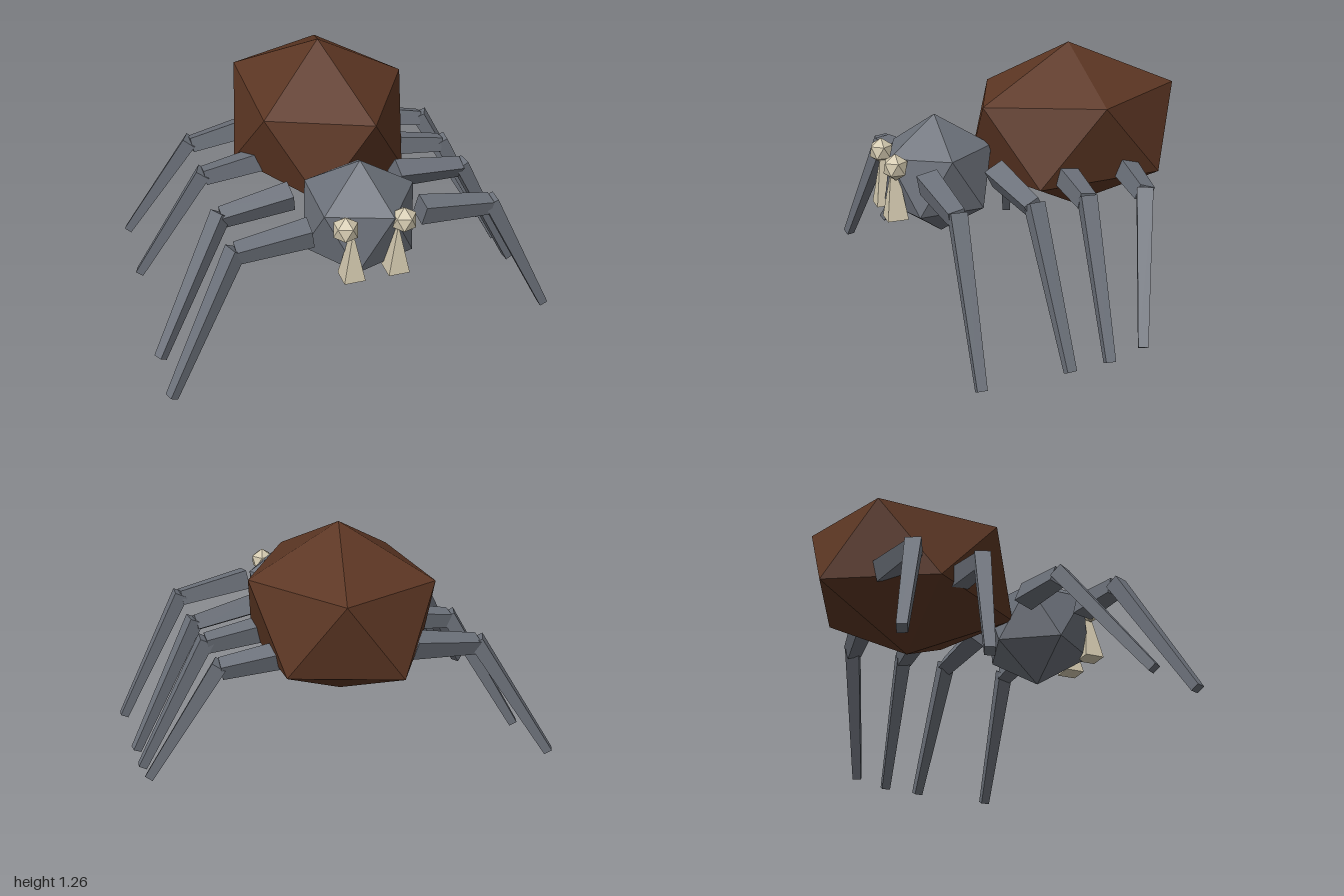
import * as THREE from 'three';

const flat = (name, color) => {
  const m = new THREE.MeshStandardMaterial({ color, flatShading: true });
  m.name = name;
  return m;
};

// Unit icosahedron standing on a point: two poles and two staggered rings of five
function icoBall() {
  const ring = (y, shift) => Array.from({ length: 5 }, (_, k) => {
    const a = (k + shift) * Math.PI * 0.4;
    return [0.8944 * Math.cos(a), y, 0.8944 * Math.sin(a)];
  });
  const top = [0, 1, 0], bottom = [0, -1, 0];
  const upper = ring(0.4472, 0), lower = ring(-0.4472, 0.5);
  const pos = [];
  for (let k = 0; k < 5; k++) {
    const n = (k + 1) % 5;
    pos.push(...top, ...upper[n], ...upper[k]);
    pos.push(...upper[k], ...upper[n], ...lower[k]);
    pos.push(...lower[k], ...upper[n], ...lower[n]);
    pos.push(...lower[k], ...lower[n], ...bottom);
  }
  const g = new THREE.BufferGeometry();
  g.setAttribute('position', new THREE.Float32BufferAttribute(pos, 3));
  g.computeVertexNormals();
  return g;
}

// Square bar along +z from 0 to length, with its own width and height at each end
function taperedBar(length, [w0, h0], [w1, h1]) {
  const g = new THREE.BoxGeometry(1, 1, length).translate(0, 0, length / 2);
  const p = g.attributes.position;
  for (let i = 0; i < p.count; i++) {
    const t = p.getZ(i) / length;
    p.setXY(i, p.getX(i) * (w0 + (w1 - w0) * t), p.getY(i) * (h0 + (h1 - h0) * t));
  }
  g.computeVertexNormals();
  return g;
}

// Tapered bar between two points, rolled about its own axis
function limb(name, from, to, start, end, roll, material) {
  const a = new THREE.Vector3(...from), d = new THREE.Vector3(...to).sub(a);
  const mesh = new THREE.Mesh(taperedBar(d.length(), start, end), material);
  mesh.name = name;
  d.normalize();
  const side = new THREE.Vector3(0, 1, 0).cross(d).normalize();
  const up = d.clone().cross(side);
  mesh.quaternion.setFromRotationMatrix(new THREE.Matrix4().makeBasis(side, up, d));
  mesh.rotateZ(roll);
  mesh.position.copy(a);
  return mesh;
}

export function createModel() {
  const model = new THREE.Group();
  model.name = 'spider';
  const brown = flat('brown', 0x5c3623);
  const grey = flat('grey', 0x6c717a);
  const bone = flat('bone', 0xd3c9af);

  const ball = (name, material, position, scale, pitch = 0) => {
    const m = new THREE.Mesh(icoBall(), material);
    m.name = name;
    m.position.set(...position);
    m.scale.set(...scale);
    m.rotation.x = pitch;
    model.add(m);
  };

  // Body
  ball('abdomen', brown, [0.016, 0.85, -0.242], [0.49, 0.42, 0.587], 0.04);
  ball('head', grey, [0.005, 0.672, 0.45], [0.297, 0.298, 0.297], 0.035);

  // Eyes and fangs
  for (const s of [1, -1]) {
    const side = s > 0 ? 'left' : 'right';
    ball(side + 'Eye', bone, [s * 0.137, 0.77, 0.69], [0.063, 0.065, 0.063]);
    const fang = new THREE.Mesh(taperedBar(0.225, [0.1, 0.1], [0.008, 0.035]), bone);
    fang.name = side + 'Fang';
    fang.rotation.x = -Math.PI / 2;
    fang.position.set(s * 0.106, 0.51, 0.69);
    model.add(fang);
  }

  // Legs, front to back: side, hip z, knee z, foot x, y and z, roll of the upper part
  const legs = [
    [1, 0.57, 0.545, 0.97, 0.02, 0.562, 0.2],
    [1, 0.235, 0.19, 0.97, 0.03, 0.155, 0.5],
    [1, -0.075, -0.065, 0.97, 0.04, -0.033, -0.15],
    [1, -0.395, -0.355, 0.96, 0.075, -0.2, -0.3],
    [-1, 0.58, 0.565, 0.965, 0.04, 0.71, 0.2],
    [-1, 0.26, 0.265, 0.975, 0.095, 0.495, 0.35],
    [-1, -0.13, -0.125, 0.955, 0.06, -0.25, -0.15],
    [-1, -0.475, -0.455, 0.955, 0.095, -0.62, -0.3],
  ];
  legs.forEach(([s, hipZ, kneeZ, footX, footY, footZ, roll], i) => {
    const leg = new THREE.Group();
    leg.name = (s > 0 ? 'left' : 'right') + 'Leg' + (i % 4 + 1);
    const kneeX = s > 0 ? 0.625 : -0.605;
    const kneeY = s > 0 ? 0.672 : 0.66;
    leg.add(
      limb('upperLeg', [s * 0.265, kneeY + 0.052, hipZ], [kneeX, kneeY, kneeZ],
        [0.1, 0.1], [0.075, 0.075], s * roll, grey),
      limb('lowerLeg', [kneeX, kneeY + 0.022, kneeZ], [s * footX, footY, footZ],
        [0.075, 0.07], [0.045, 0.042], 0, grey),
    );
    model.add(leg);
  });
  return model;
}
